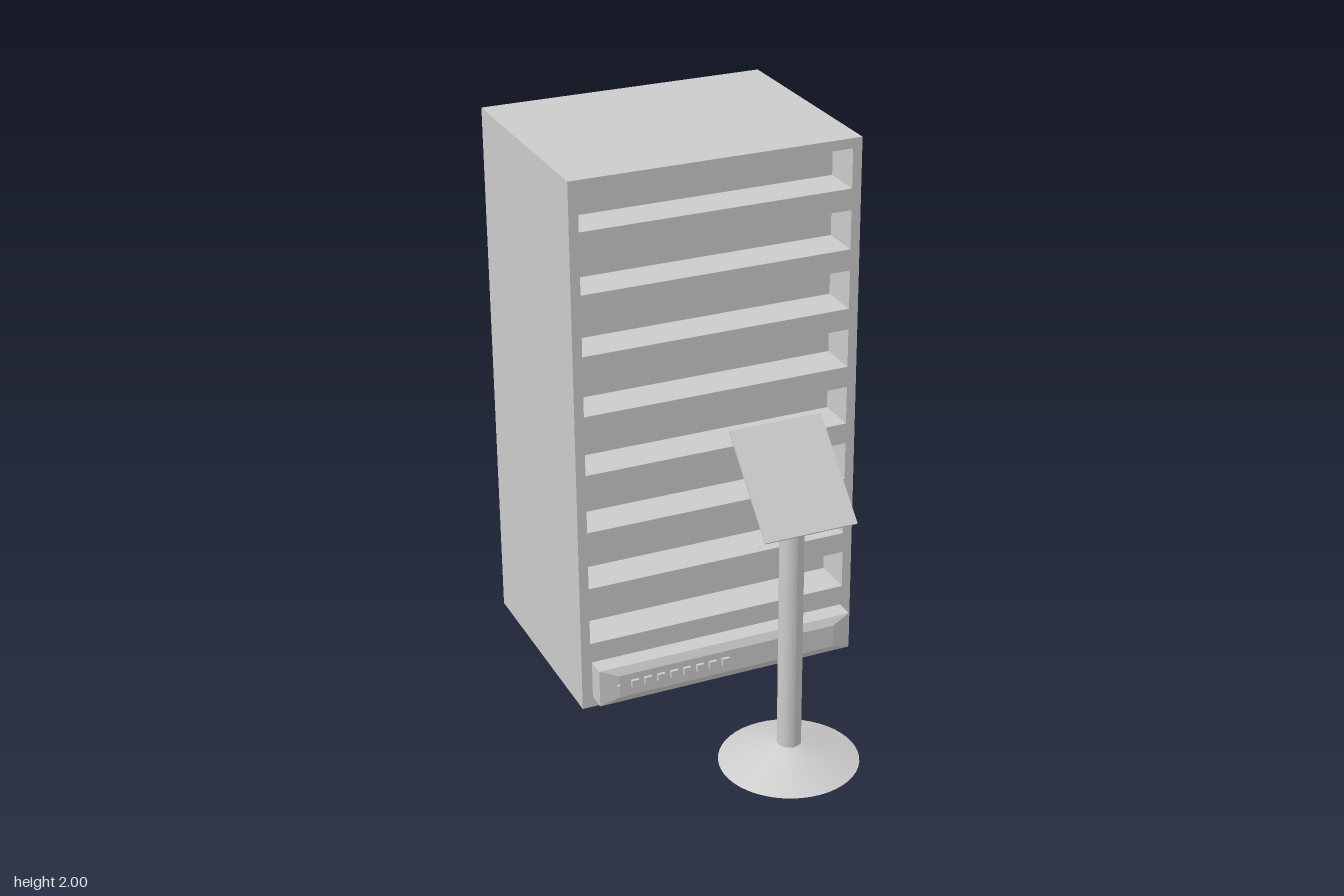
import * as THREE from 'three';

const grey = new THREE.MeshStandardMaterial({ color: 0xcccccc });
const greyOpen = new THREE.MeshStandardMaterial({ color: 0xcccccc, side: THREE.DoubleSide });

function add(parent, name, geometry, x, y, z, material = grey) {
  const mesh = new THREE.Mesh(geometry, material);
  mesh.name = name;
  mesh.position.set(x, y, z);
  parent.add(mesh);
  return mesh;
}

function rectangle(PathType, x0, y0, x1, y1) {
  const path = new PathType();
  path.moveTo(x0, y0);
  path.lineTo(x1, y0);
  path.lineTo(x1, y1);
  path.lineTo(x0, y1);
  path.closePath();
  return path;
}

// Cabinet: a slotted front frame on a solid body that closes the slots
function createCabinet() {
  const cabinet = new THREE.Group();
  cabinet.name = 'cabinet';
  const W = 0.535, H = 2, D = 0.83, slotDepth = 0.15;
  const face = rectangle(THREE.Shape, -W, 0, W, H);
  for (let i = 0; i < 8; i++) {
    const y = 0.262 + i * 0.2225;
    face.holes.push(rectangle(THREE.Path, -0.5, y, 0.5, y + 0.144));
  }
  const frame = new THREE.ExtrudeGeometry(face, { depth: slotDepth, bevelEnabled: false });
  add(cabinet, 'slottedFront', frame, 0, 0, -slotDepth);
  const depth = D - slotDepth;
  add(cabinet, 'cabinetBody', new THREE.BoxGeometry(2 * W, H, depth), 0, H / 2, -slotDepth - depth / 2);
  return cabinet;
}

// Control panel: box with a chamfered front, a lamp and a row of buttons
function createControlPanel() {
  const panel = new THREE.Group();
  panel.name = 'controlPanel';
  const w = 0.99, h = 0.144, y = 0.113;
  let box = new THREE.BoxGeometry(w, h, 2, 1, 1, 2);
  const p = box.attributes.position;
  for (let i = 0; i < p.count; i++) {
    const z = p.getZ(i);
    if (z > 0.5) {
      p.setX(i, Math.sign(p.getX(i)) * (w / 2 - 0.07));
      p.setY(i, Math.sign(p.getY(i)) * (h / 2 - 0.028));
    }
    p.setZ(i, z < -0.5 ? 0 : z > 0.5 ? 0.085 : 0.07);
  }
  box = box.toNonIndexed();
  box.computeVertexNormals();
  add(panel, 'panelBody', box, 0, y, 0);

  const lamp = new THREE.CylinderGeometry(0.008, 0.008, 0.03, 16).rotateX(Math.PI / 2);
  add(panel, 'lamp', lamp, -0.425, y + 0.003, 0.077);
  const button = new THREE.BoxGeometry(0.028, 0.028, 0.03);
  for (let i = 0; i < 8; i++) add(panel, 'button', button, -0.367 + i * 0.0505, y + 0.005, 0.082);
  return panel;
}

// Stand: hollow conical foot, open tube post, tilted reading plate
function createStand() {
  const stand = new THREE.Group();
  stand.name = 'stand';
  const r = 0.042, plateY = 1.092;
  add(stand, 'foot', new THREE.CylinderGeometry(r, 0.245, 0.07, 48, 1, true), 0, 0.035, 0, greyOpen);

  const post = new THREE.CylinderGeometry(r, r, 2, 32, 2, true);
  const p = post.attributes.position;
  for (let i = 0; i < p.count; i++) {
    const level = p.getY(i);
    if (level > 0.5) {
      // top rim narrows at the back and is cut along the plate
      const z = p.getZ(i) < 0 ? p.getZ(i) * 0.6 : p.getZ(i);
      p.setZ(i, z);
      p.setY(i, plateY - z);
    } else {
      p.setY(i, level < -0.5 ? 0.07 : 1.03);
    }
  }
  post.computeVertexNormals();
  add(stand, 'post', post, 0, 0, 0, greyOpen);

  const plate = add(stand, 'plate', new THREE.BoxGeometry(0.332, 0.01, 0.395), 0, plateY, 0.003);
  plate.rotation.x = Math.PI / 4;
  stand.position.z = 0.585;
  return stand;
}

export function createModel() {
  const model = new THREE.Group();
  model.name = 'slottedCabinetWithStand';
  model.add(createCabinet(), createControlPanel(), createStand());
  return model;
}
